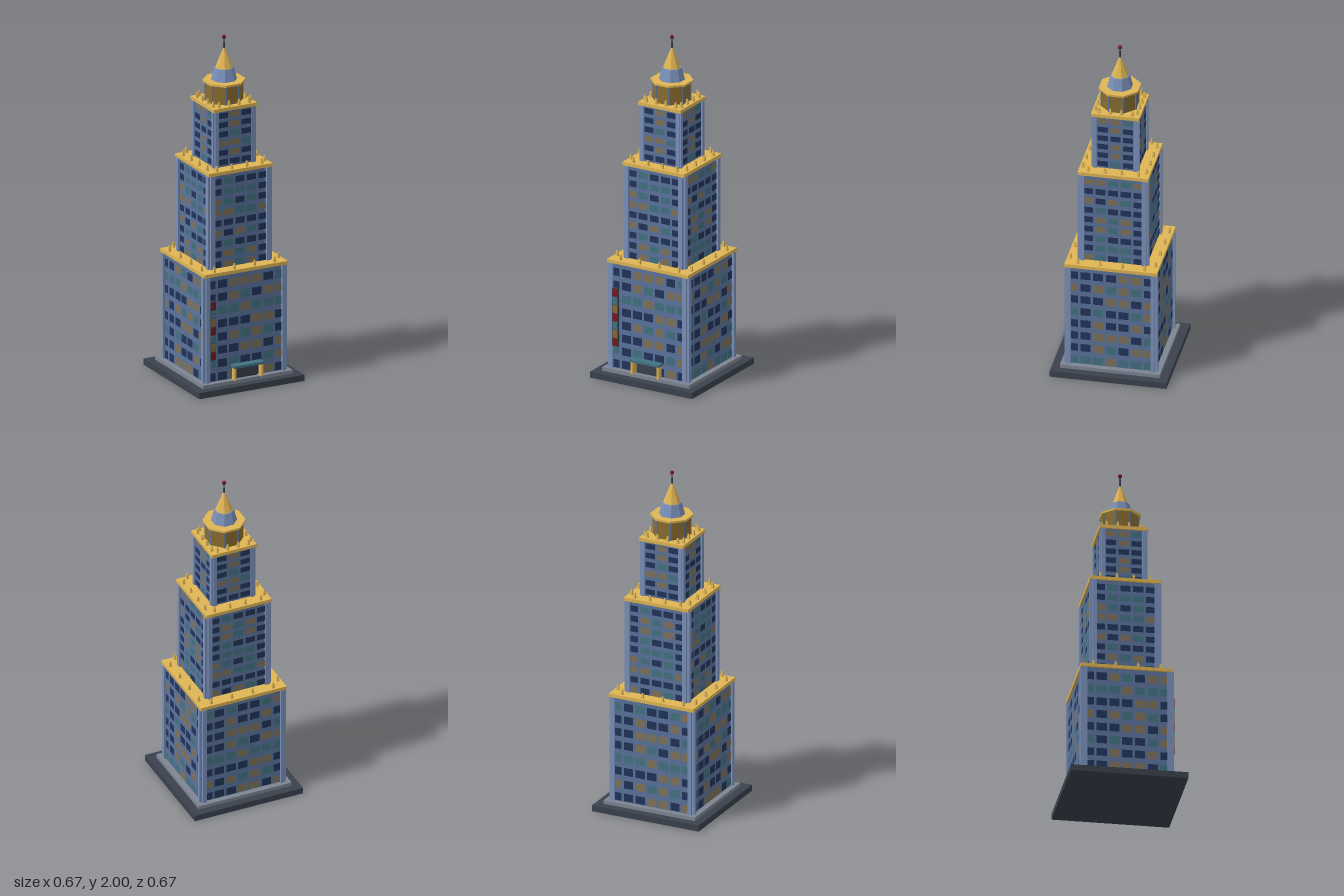
import * as THREE from 'three';
import { mergeGeometries } from 'three/addons/utils/BufferGeometryUtils.js';

const mat = (name, color) => Object.assign(new THREE.MeshStandardMaterial({ color }), { name });

export function createModel() {
  const M = {
    wall: mat('wall blue', 0x5a739c),
    pier: mat('pier blue', 0x7a90ba),
    gold: mat('gold trim', 0xdfb554),
    navy: mat('dark window', 0x22335a),
    amber: mat('amber window', 0x7e7259),
    teal: mat('teal', 0x427280),
    stone: mat('plinth grey', 0x7d8592),
    dark: mat('charcoal', 0x3a414d),
    red: mat('sign red', 0x761a20),
    bronze: mat('lantern bronze', 0x8a6c30),
  };
  const root = new THREE.Group();
  root.name = 'tower';

  const add = (name, geo, material, parent = root) => {
    const m = new THREE.Mesh(geo, material);
    m.name = name;
    parent.add(m);
    return m;
  };
  // box given by centre x, bottom y, centre z
  const box = (w, h, d, x, y, z) => new THREE.BoxGeometry(w, h, d).translate(x, y + h / 2, z);
  // flat-sided prism or frustum; a0 and a1 are the distances to the flats
  const prism = (n, a0, a1, h, y) => {
    const k = 1 / Math.cos(Math.PI / n);
    return new THREE.CylinderGeometry(a1 * k, a0 * k, h, n).rotateY(Math.PI / n)
      .toNonIndexed().translate(0, y + h / 2, 0);
  };
  const flat = (geo) => { geo.computeVertexNormals(); return geo; };

  // base slab and plinth
  add('baseSlab', box(0.666, 0.036, 0.666, 0, 0, 0), M.dark);
  add('plinth', box(0.57, 0.021, 0.57, 0, 0.036, 0), M.stone);

  // three stepped tiers; panes lists the window colours per floor from the top
  // (N dark, A amber, T teal)
  const tiers = [
    { name: 'lowerTier', y0: 0.057, y1: 0.7, half: 0.252, ledge: 0.264, pierIn: 0.228, pierOut: 0.2655, drop: 0.012, fin: 0.243, step: 0.127,
      panes: ['NNAAANT', 'NNATNAA', 'TTTATTT', 'NNNNAAN', 'ANATATN', 'NNNAANA', 'TNTNNTA', 'NNANNAN'] },
    { name: 'middleTier', y0: 0.7, y1: 1.27, half: 0.19, ledge: 0.2015, pierIn: 0.163, pierOut: 0.203, drop: 0.011, fin: 0.182, step: 0.095,
      panes: ['NTNNN', 'NTTTN', 'ATNTN', 'AATTA', 'NNNNN', 'ANATN', 'NTNNN', 'NATAN', 'NATAN'] },
    { name: 'upperTier', y0: 1.27, y1: 1.62, half: 0.127, ledge: 0.138, pierIn: 0.105, pierOut: 0.136, drop: 0, fin: 0.119, step: 0.0635,
      panes: ['NAN', 'NAN', 'NTN', 'AAT', 'NAN', 'NNN'] },
  ];
  const paneNames = { N: 'navy', A: 'amber', T: 'teal' };
  for (const t of tiers) {
    const g = new THREE.Group();
    g.name = t.name;
    root.add(g);
    const top = t.y1 - 0.02, h = top - t.y0;
    add('walls', box(t.half * 2, h, t.half * 2, 0, t.y0, 0), M.wall, g);
    add('roofLedge', box(t.ledge * 2, 0.02, t.ledge * 2, 0, top, 0), M.gold, g);

    const panes = { navy: [], amber: [], teal: [] }, piers = [], finials = [];
    const rows = t.panes.length, cols = t.panes[0].length;
    const pitch = h / rows, ph = pitch * 0.6;
    for (let side = 0; side < 4; side++) {
      const turn = (geo) => geo.rotateY(side * Math.PI / 2);
      // paired corner piers
      for (const s of [-1, 1]) {
        const w = t.half - t.pierIn, inner = t.half - 0.01;
        piers.push(turn(box(w, h, t.pierOut - inner, s * (t.pierIn + w / 2), t.y0, (t.pierOut + inner) / 2)));
      }
      // window grid, its colours shifted by some floors from side to side
      for (let r = 0; r < rows; r++) for (let c = 0; c < cols; c++) {
        const x = (c - (cols - 1) / 2) * 0.0725;
        const x0 = Math.max(x - 0.029, -t.pierIn), x1 = Math.min(x + 0.029, t.pierIn);
        const y = top - (r + 0.5) * pitch - t.drop;
        const key = paneNames[t.panes[(r + side * 3) % rows][c]];
        panes[key].push(turn(new THREE.PlaneGeometry(x1 - x0, ph).translate((x0 + x1) / 2, y, t.half + 0.0012)));
      }
      // finials along the ledge
      for (let i = 0; i < 4; i++) {
        finials.push(turn(prism(4, 0.008, 0.004, 0.032, t.y1).translate((i - 1.5) * t.step, 0, t.fin)));
      }
    }
    add('cornerPiers', mergeGeometries(piers), M.pier, g);
    add('finials', flat(mergeGeometries(finials)), M.gold, g);
    for (const key in panes) add(key + 'Windows', mergeGeometries(panes[key]), M[key], g);
  }

  // octagonal lantern room with corner posts
  add('lanternRoom', flat(prism(8, 0.1, 0.1, 0.108, 1.62)), M.bronze);
  const posts = [];
  for (let i = 0; i < 8; i++) {
    posts.push(box(0.01, 0.108, 0.01, 0, 1.62, 0.105).rotateY((i + 0.5) * Math.PI / 4));
  }
  add('lanternPosts', mergeGeometries(posts), M.wall);
  add('lanternLedge', flat(prism(8, 0.112, 0.112, 0.012, 1.728)), M.gold);

  // crown, spire and mast
  add('crown', flat(prism(8, 0.068, 0.051, 0.07, 1.74)), M.pier);
  add('spire', flat(prism(8, 0.046, 0.003, 0.118, 1.81)), M.gold);
  add('mast', new THREE.CylinderGeometry(0.004, 0.005, 0.08, 8).translate(0, 1.95, 0), M.dark);
  add('beacon', new THREE.SphereGeometry(0.012, 12, 8).translate(0, 1.988, 0), M.red);

  // entrance with canopy
  const entrance = new THREE.Group();
  entrance.name = 'entrance';
  root.add(entrance);
  add('door', box(0.145, 0.076, 0.006, 0, 0.057, 0.256), M.dark, entrance);
  add('canopy', box(0.19, 0.014, 0.05, 0, 0.13, 0.278), M.teal, entrance);
  for (const s of [-1, 1]) {
    add('canopyPost', box(0.014, 0.073, 0.032, s * 0.085, 0.057, 0.282), M.gold, entrance);
  }

  // vertical blade sign with coloured panels
  const sign = new THREE.Group();
  sign.name = 'verticalSign';
  root.add(sign);
  add('signBacking', box(0.036, 0.346, 0.016, -0.21, 0.19, 0.26), M.dark, sign);
  for (let i = 0; i < 7; i++) {
    const color = [M.red, M.bronze, M.teal][i % 3];
    add('signPanel', box(0.031, 0.044, 0.005, -0.21, 0.193 + i * 0.0492, 0.2695), color, sign);
  }
  return root;
}
